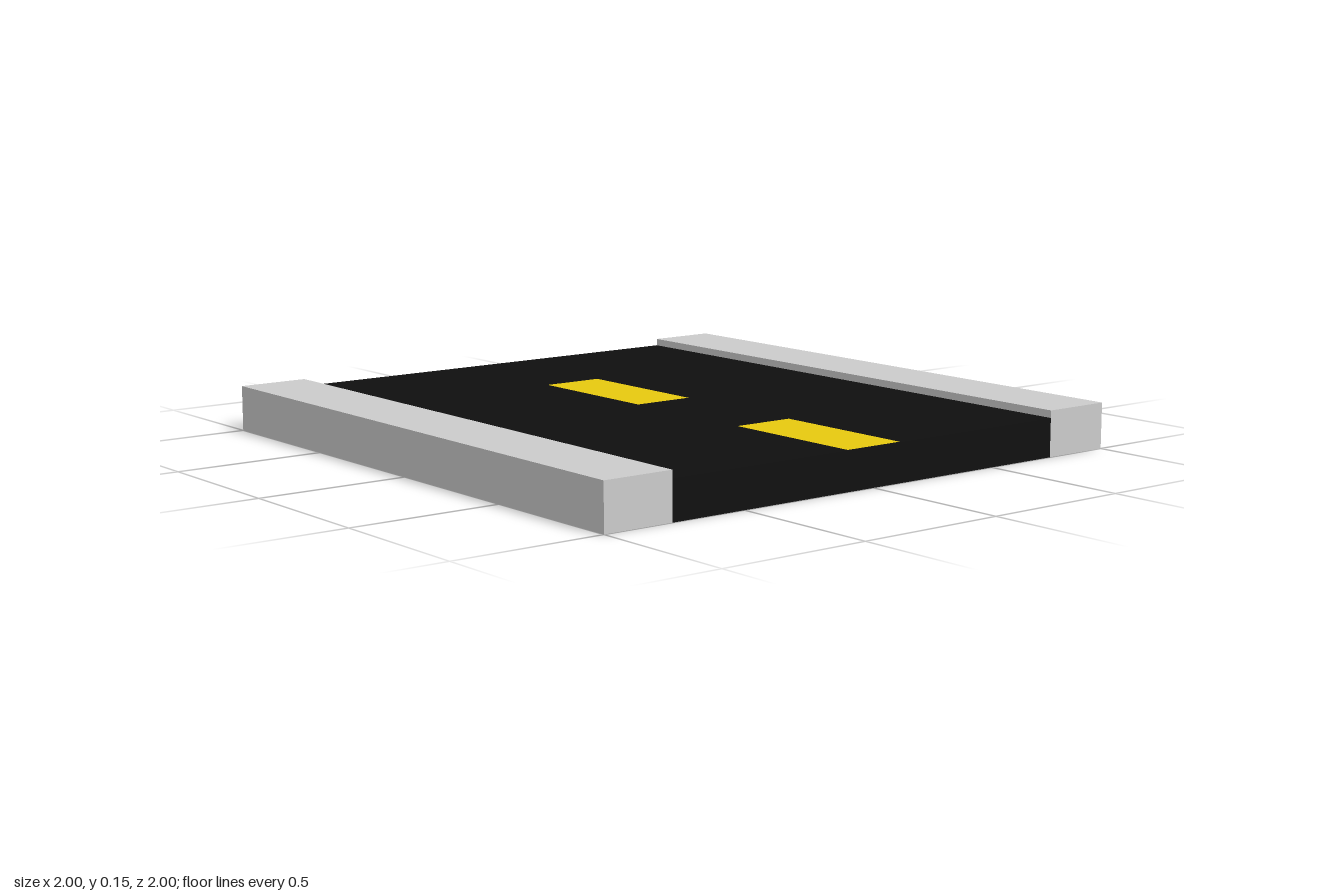
import * as THREE from 'three';

export function createModel() {
  const model = new THREE.Group();
  model.name = 'roadSection';

  const asphalt = new THREE.MeshStandardMaterial({ color: 0x0f0f0f });
  const concrete = new THREE.MeshStandardMaterial({ color: 0xcccccc });
  const paint = new THREE.MeshStandardMaterial({ color: 0xe7c90f });

  const length = 2, roadWidth = 1.524, roadHeight = 0.126;
  const kerbWidth = (2 - roadWidth) / 2, kerbHeight = 0.15;

  const add = (name, geometry, material, x, y, z) => {
    const mesh = new THREE.Mesh(geometry, material);
    mesh.name = name;
    mesh.position.set(x, y, z);
    model.add(mesh);
  };

  // Road slab between the kerbs
  add('roadSlab', new THREE.BoxGeometry(roadWidth, roadHeight, length), asphalt, 0, roadHeight / 2, 0);

  // Raised kerbs, with a dark underside matching the slab
  const kerbFaces = [concrete, concrete, concrete, asphalt, concrete, concrete];
  for (const [name, side] of [['leftKerb', 1], ['rightKerb', -1]]) {
    add(name, new THREE.BoxGeometry(kerbWidth, kerbHeight, length), kerbFaces,
      side * (1 - kerbWidth / 2), kerbHeight / 2, 0);
  }

  // Painted centre-line dashes lying on the slab
  for (const [name, z] of [['frontLaneDash', 0.75], ['backLaneDash', -0.25]]) {
    const dash = new THREE.PlaneGeometry(0.21, 0.5).rotateX(-Math.PI / 2);
    add(name, dash, paint, 0, roadHeight + 0.001, z);
  }

  return model;
}
